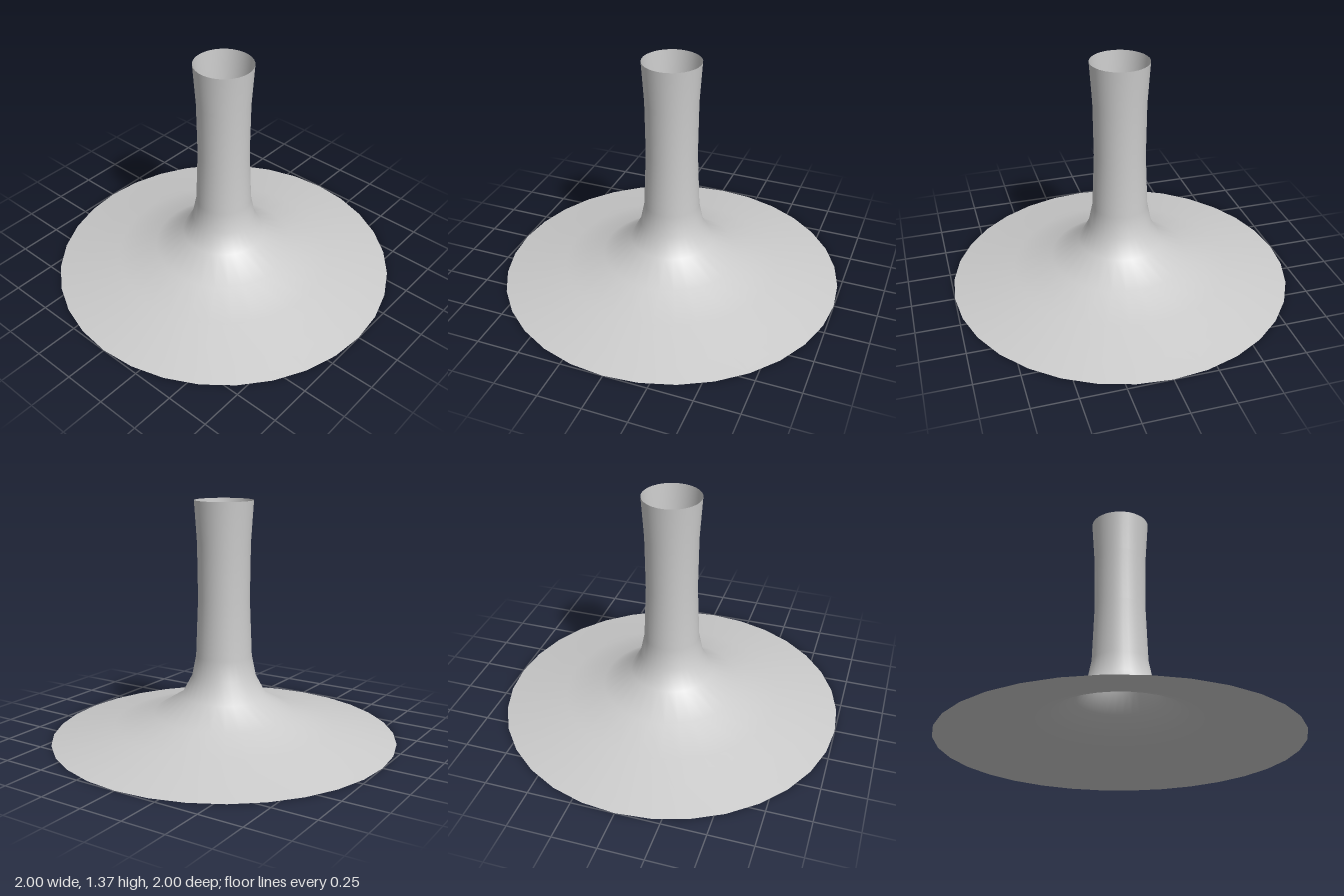
import * as THREE from 'three';

export function createModel() {
  const group = new THREE.Group();
  group.name = 'flaredPedestal';

  // Open shell: wide flared foot sweeping up into a slim, slightly waisted tube
  const profile = [
    [1, 0], [0.64, 0.08], [0.41, 0.145], [0.245, 0.247], [0.185, 0.36],
    [0.161, 0.48], [0.148, 0.81], [0.152, 1.13], [0.168, 1.37],
  ].map(([r, y]) => new THREE.Vector2(r, y));

  const shell = new THREE.Mesh(
    new THREE.LatheGeometry(profile, 32),
    new THREE.MeshStandardMaterial({ color: 0xcccccc, side: THREE.DoubleSide }),
  );
  shell.name = 'flaredFootAndStem';
  group.add(shell);

  return group;
}
